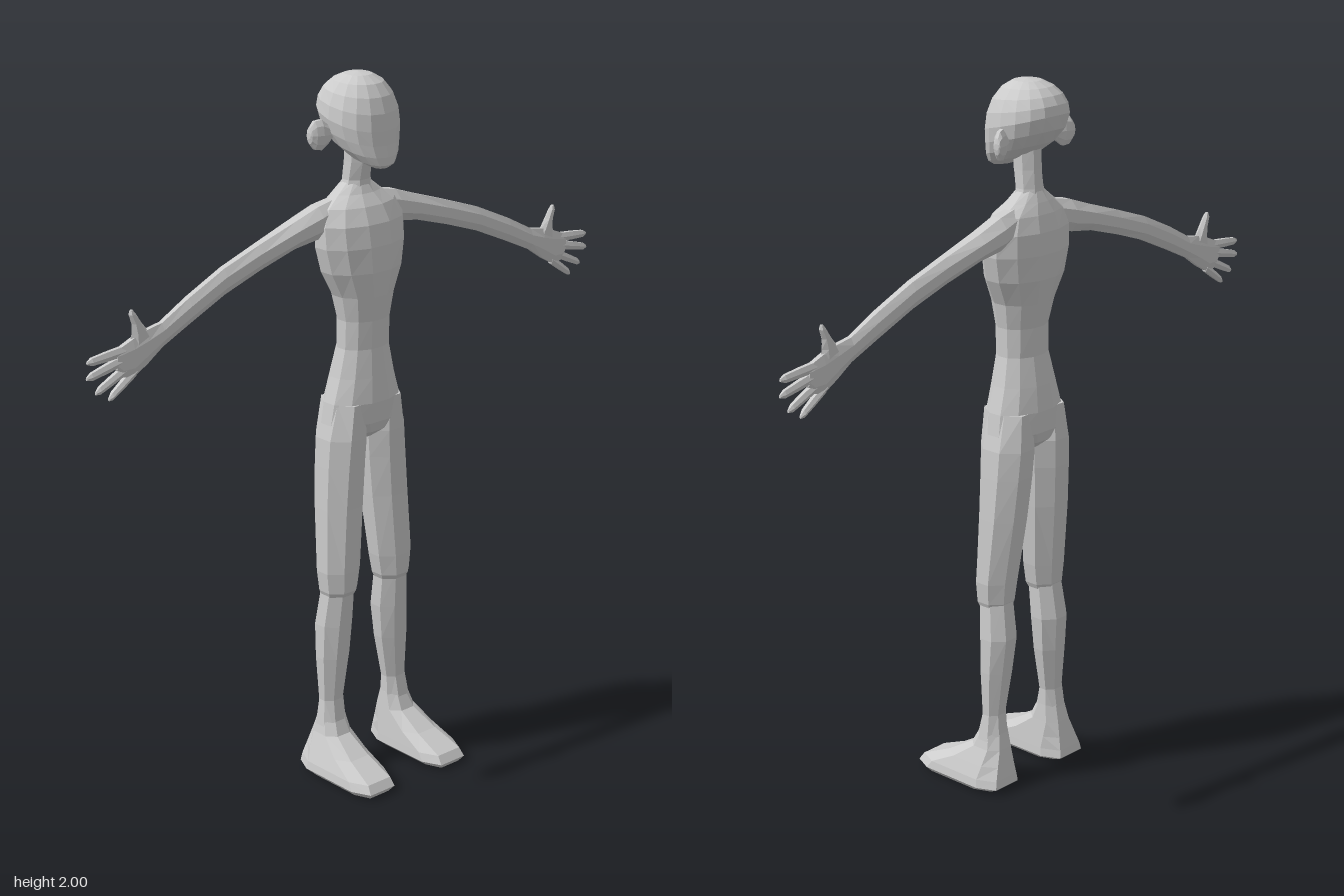
import * as THREE from 'three';

const material = new THREE.MeshStandardMaterial({ color: 0xcccccc, flatShading: true });

// Skin of cross-sections stacked along an axis (0 = x, 1 = y, 2 = z).
// Ring: [position on axis, U min, U max, V min, V max, squareness], U and V being the next two axes in cyclic order.
function loft(name, axis, rings, sides = 8, side = 1) {
  const u = (axis + 1) % 3, v = (axis + 2) % 3, pos = [], index = [];
  const add = (a, b, c) => index.push(...(side > 0 ? [a, b, c] : [a, c, b]));
  const put = (p, a, b) => {
    const q = [0, 0, 0];
    q[axis] = p; q[u] = a; q[v] = b;
    pos.push(q[0] * side, q[1], q[2]);
  };
  const top = Math.cos(Math.PI / sides);
  const bend = (s, e) => Math.sign(s) * Math.pow(Math.abs(s) / top, e);
  for (const [p, u0, u1, v0, v1, e = 1] of rings) {
    for (let i = 0; i < sides; i++) {
      const t = (i + 0.5) / sides * Math.PI * 2;
      put(p, (u0 + u1) / 2 + (u1 - u0) / 2 * bend(Math.cos(t), e),
        (v0 + v1) / 2 + (v1 - v0) / 2 * bend(Math.sin(t), e));
    }
  }
  for (let r = 0; r < rings.length - 1; r++) {
    for (let i = 0; i < sides; i++) {
      const a = r * sides + i, b = r * sides + (i + 1) % sides;
      add(a, b, b + sides);
      add(a, b + sides, a + sides);
    }
  }
  // End caps
  for (const r of [0, rings.length - 1]) {
    const [p, u0, u1, v0, v1] = rings[r], c = pos.length / 3;
    put(p, (u0 + u1) / 2, (v0 + v1) / 2);
    for (let i = 0; i < sides; i++) {
      const a = r * sides + i, b = r * sides + (i + 1) % sides;
      if (r) add(a, b, c); else add(b, a, c);
    }
  }
  const geo = new THREE.BufferGeometry();
  geo.setAttribute('position', new THREE.Float32BufferAttribute(pos, 3));
  geo.setIndex(index);
  geo.computeVertexNormals();
  const mesh = new THREE.Mesh(geo, material);
  mesh.name = name;
  return mesh;
}

// Upright rings from [y, half width, back z, front z]
const upright = list => list.map(([y, w, b, f, e]) => [y, b, f, -w, w, e]);
// Limb rings from [y, inner x, outer x, back z, front z]
const legRings = list => list.map(([y, i, o, b, f, e]) => [y, b, f, i, o, e]);
// Arm rings from [x, low y, high y, centre z, half depth]
const armRings = list => list.map(([x, lo, hi, z, d, e]) => [x, lo, hi, z - d, z + d, e]);

// Rounded skull whose lower half leans forward to the chin
function makeHead() {
  const geo = new THREE.SphereGeometry(1, 16, 10);
  const p = geo.attributes.position;
  const soft = s => Math.sign(s) * Math.pow(Math.abs(s), 0.9);
  for (let i = 0; i < p.count; i++) {
    const x = p.getX(i), y = p.getY(i), z = p.getZ(i), low = Math.max(0, -y);
    p.setXYZ(i,
      0.106 * soft(x) * (1 - 0.1 * low),
      1.885 + 0.115 * y - z * 0.03 * (1 - Math.max(0, y)) - 0.012 * low,
      -0.07 + 0.11 * soft(z) + 0.075 * low * low);
  }
  geo.computeVertexNormals();
  const head = new THREE.Mesh(geo, material);
  head.name = 'head';
  return head;
}

function makeArm(side) {
  const arm = new THREE.Group();
  arm.name = side > 0 ? 'leftArm' : 'rightArm';
  arm.add(loft('armAndPalm', 0, armRings([
    [0.07, 1.59, 1.668, -0.085, 0.03],
    [0.14, 1.565, 1.654, -0.088, 0.038],
    [0.22, 1.553, 1.626, -0.09, 0.035],
    [0.34, 1.517, 1.587, -0.088, 0.026],
    [0.46, 1.476, 1.546, -0.086, 0.022],
    [0.58, 1.423, 1.492, -0.082, 0.02],
    [0.67, 1.381, 1.445, -0.079, 0.016],
    [0.72, 1.347, 1.436, -0.078, 0.016],
    [0.765, 1.322, 1.422, -0.078, 0.015, 0.8],
    [0.8, 1.328, 1.408, -0.078, 0.012, 0.7],
    [0.815, 1.35, 1.398, -0.078, 0.009, 0.7],
  ]), 8, side));
  // Four fingers: base x, y and tip x, y
  const fingers = [
    [0.79, 1.396, 0.905, 1.387], [0.79, 1.373, 0.908, 1.346],
    [0.78, 1.349, 0.882, 1.302], [0.758, 1.335, 0.842, 1.277],
  ];
  fingers.forEach(([x0, y0, x1, y1], n) => {
    const rings = [[0, 0.013], [0.5, 0.012], [0.88, 0.01], [1, 0.004]].map(([t, r]) => {
      const y = y0 + (y1 - y0) * t;
      return [x0 + (x1 - x0) * t, y - r, y + r, -0.078, r * 0.8];
    });
    arm.add(loft('finger' + (n + 1), 0, armRings(rings), 6, side));
  });
  arm.add(loft('thumb', 1, legRings([
    [1.4, 0.69, 0.768, -0.092, -0.064],
    [1.432, 0.715, 0.761, -0.09, -0.066],
    [1.46, 0.735, 0.761, -0.088, -0.068],
    [1.485, 0.75, 0.769, -0.086, -0.07],
    [1.497, 0.759, 0.766, -0.082, -0.074],
  ]), 6, side));
  return arm;
}

function makeLeg(side) {
  const leg = new THREE.Group();
  leg.name = side > 0 ? 'leftLeg' : 'rightLeg';
  // Thigh, with a blocky knee at its lower end
  leg.add(loft('thigh', 1, legRings([
    [0.54, 0.053, 0.146, -0.09, -0.006],
    [0.555, 0.046, 0.152, -0.096, 0.002],
    [0.615, 0.036, 0.158, -0.102, 0.005],
    [0.8, 0.018, 0.15, -0.124, 0.004],
    [0.92, 0.008, 0.143, -0.134, 0.006],
    [1.0, 0.003, 0.137, -0.138, 0.009],
    [1.1, 0.02, 0.112, -0.13, 0.008],
  ]), 8, side));
  leg.add(loft('shin', 1, legRings([
    [0.12, 0.08, 0.168, -0.1, -0.01],
    [0.22, 0.084, 0.154, -0.086, -0.03],
    [0.35, 0.062, 0.159, -0.1, -0.02],
    [0.45, 0.053, 0.157, -0.11, -0.012],
    [0.56, 0.054, 0.146, -0.094, -0.004],
  ]), 8, side));
  leg.add(loft('foot', 1, legRings([
    [0.008, 0.085, 0.19, -0.09, 0.165, 0.5],
    [0.025, 0.066, 0.206, -0.122, 0.178, 0.5],
    [0.048, 0.068, 0.202, -0.119, 0.162, 0.55],
    [0.085, 0.072, 0.188, -0.112, 0.075, 0.65],
    [0.13, 0.077, 0.17, -0.104, 0.0, 0.8],
    [0.18, 0.082, 0.158, -0.092, -0.024],
  ]), 8, side));
  leg.children[2].geometry.translate(0, -0.008, 0);
  return leg;
}

// Cupped ear: thin disc standing out from the head, swept slightly back
function makeEar(side) {
  const rings = [[0.088, 0.012, -0.078], [0.1, 0.026, -0.081], [0.118, 0.041, -0.087],
    [0.136, 0.038, -0.093], [0.147, 0.022, -0.097], [0.15, 0.008, -0.098]]
    .map(([x, h, z]) => [x, 1.843 - h, 1.843 + h, z, 0.006 + h * 0.26]);
  return loft(side > 0 ? 'leftEar' : 'rightEar', 0, armRings(rings), 10, side);
}

export function createModel() {
  const model = new THREE.Group();
  model.name = 'figure';
  model.add(makeHead());
  model.add(loft('neck', 1, upright([
    [1.67, 0.05, -0.118, -0.04], [1.71, 0.039, -0.112, -0.045],
    [1.76, 0.037, -0.108, -0.035], [1.82, 0.037, -0.106, -0.03],
  ]), 8));
  model.add(loft('torso', 1, upright([
    [0.985, 0.03, -0.1, -0.03],
    [1.01, 0.085, -0.13, 0.003],
    [1.04, 0.127, -0.14, 0.014],
    [1.1, 0.118, -0.14, 0.02],
    [1.17, 0.097, -0.13, 0.014],
    [1.25, 0.078, -0.114, 0.006],
    [1.33, 0.077, -0.114, 0.01],
    [1.4, 0.09, -0.13, 0.02],
    [1.47, 0.124, -0.146, 0.026],
    [1.54, 0.14, -0.152, 0.024],
    [1.6, 0.14, -0.15, 0.014],
    [1.645, 0.118, -0.138, -0.008],
    [1.675, 0.075, -0.126, -0.032],
    [1.705, 0.038, -0.112, -0.048],
  ]), 12));
  for (const side of [1, -1]) model.add(makeEar(side), makeArm(side), makeLeg(side));
  return model;
}
